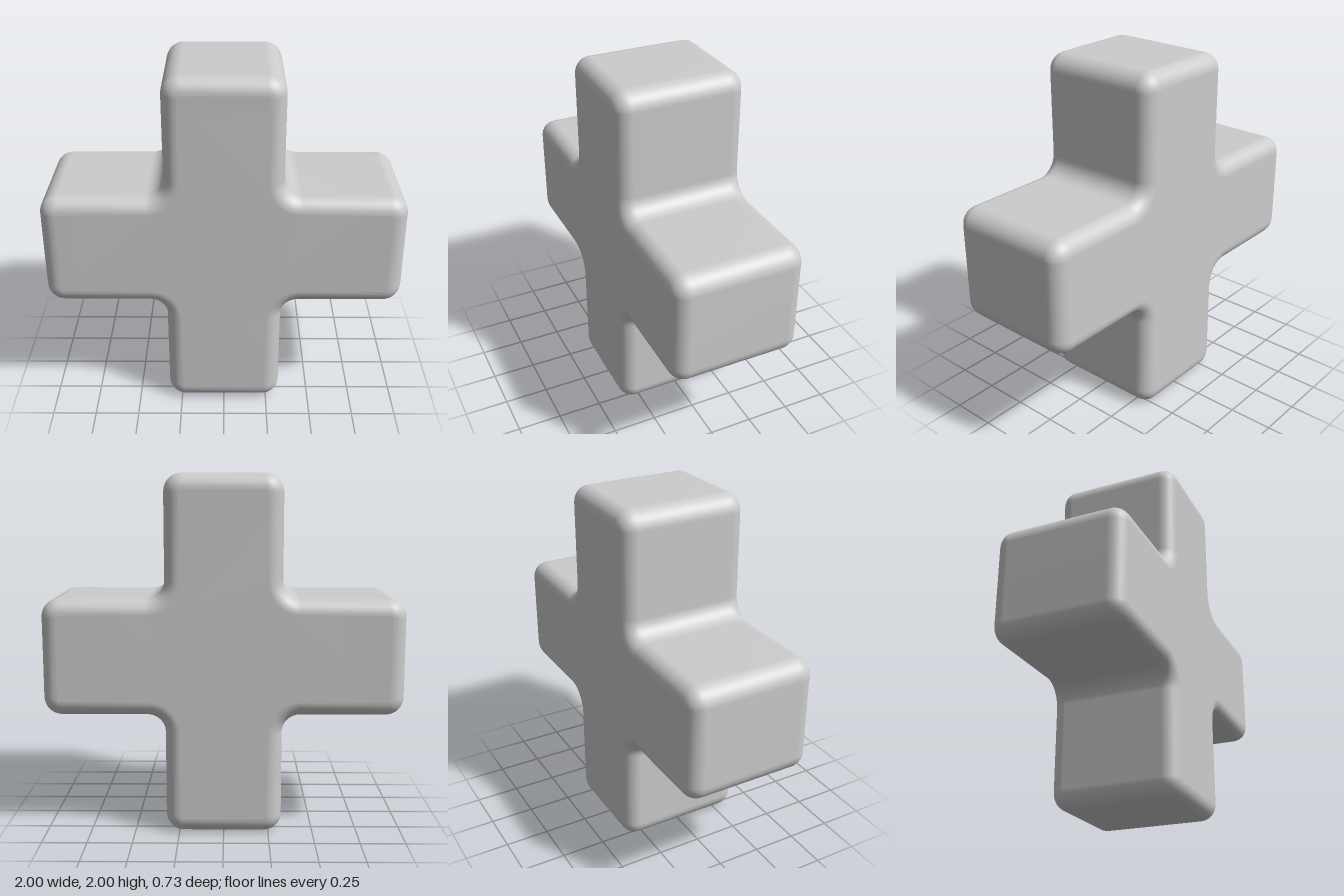
import * as THREE from 'three';
import { mergeVertices } from 'three/addons/utils/BufferGeometryUtils.js';

const REACH = 1;       // centre to arm tip
const ARM = 0.325;     // half width of an arm
const DEPTH = 0.365;   // half thickness
const CORNER = 0.1;    // rounding of the outline
const BEVEL = 0.085;   // rounding of front and back edges

// Plus-shaped outline with rounded tips and filleted inner corners
function plusShape() {
  const shape = new THREE.Shape();
  const quarter = [[REACH, -ARM], [REACH, ARM], [ARM, ARM]];
  const corners = [];
  for (let k = 0; k < 4; k++) {
    const c = Math.round(Math.cos(k * Math.PI / 2));
    const s = Math.round(Math.sin(k * Math.PI / 2));
    for (const [x, y] of quarter) corners.push(new THREE.Vector2(x * c - y * s, x * s + y * c));
  }
  const toward = (a, b) => b.clone().sub(a).setLength(CORNER).add(a);
  corners.forEach((p, i) => {
    const start = toward(p, corners[(i + 11) % 12]);
    const end = toward(p, corners[(i + 1) % 12]);
    if (i === 0) shape.moveTo(start.x, start.y);
    else shape.lineTo(start.x, start.y);
    // Cubic handles approximating a quarter circle
    const h1 = start.clone().lerp(p, 0.5523);
    const h2 = end.clone().lerp(p, 0.5523);
    shape.bezierCurveTo(h1.x, h1.y, h2.x, h2.y, end.x, end.y);
  });
  shape.closePath();
  return shape;
}

export function createModel() {
  const group = new THREE.Group();
  group.name = 'roundedPlus';
  const lightGrey = new THREE.MeshStandardMaterial({ color: 0xcccccc });
  lightGrey.name = 'lightGrey';

  // One solid body, bevelled inward so the outline keeps its size
  let geometry = new THREE.ExtrudeGeometry(plusShape(), {
    depth: 2 * (DEPTH - BEVEL),
    curveSegments: 8,
    bevelEnabled: true,
    bevelThickness: BEVEL,
    bevelSize: BEVEL,
    bevelOffset: -BEVEL,
    bevelSegments: 8,
  });
  // Weld the surface for smooth shading
  geometry.deleteAttribute('uv');
  geometry.deleteAttribute('normal');
  geometry.clearGroups();
  geometry = mergeVertices(geometry, 1e-4);
  geometry.computeVertexNormals();
  geometry.translate(0, REACH, -(DEPTH - BEVEL));

  const body = new THREE.Mesh(geometry, lightGrey);
  body.name = 'plusBody';
  group.add(body);
  return group;
}
